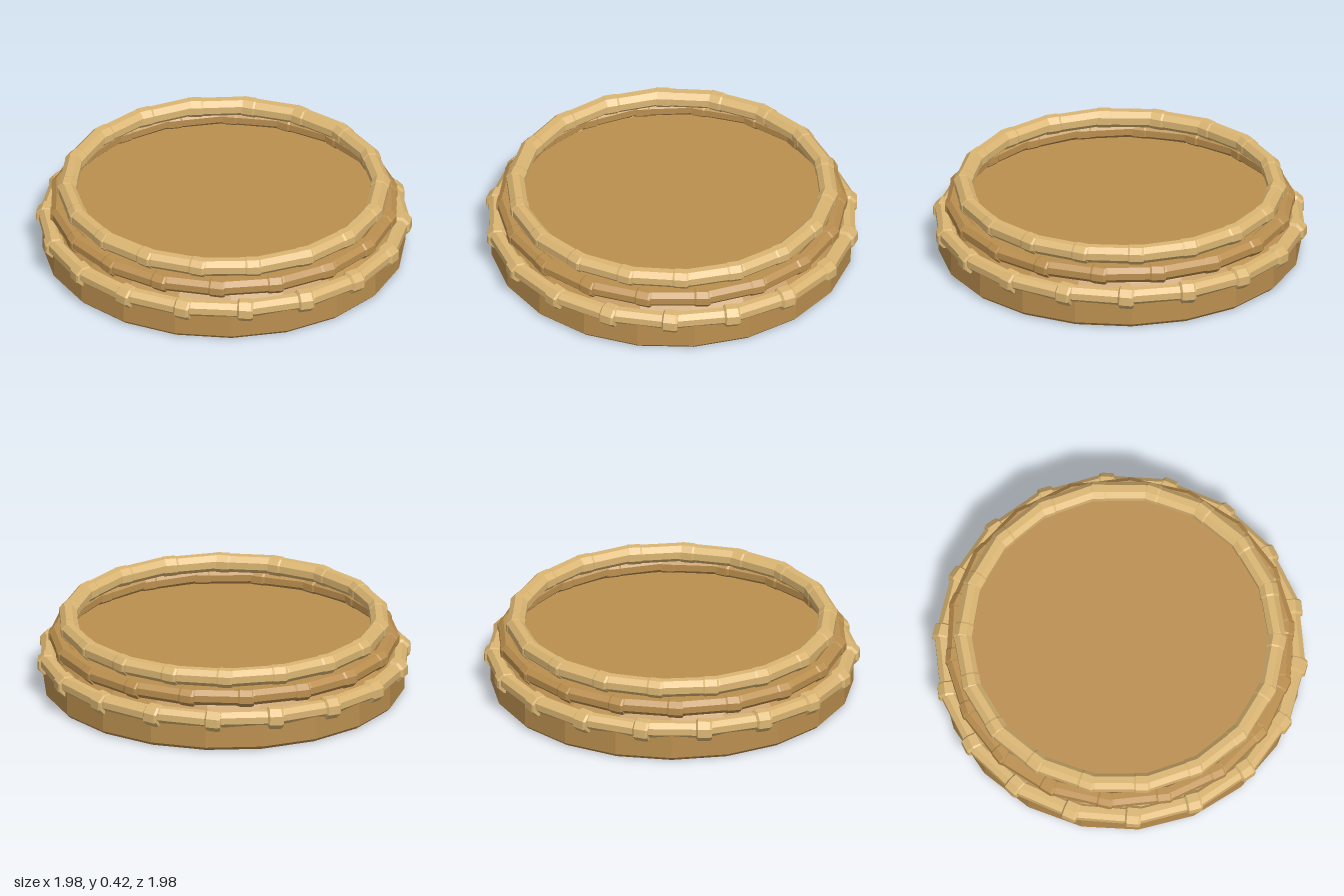
import * as THREE from 'three';

function material(name, color) {
  const m = new THREE.MeshStandardMaterial({ color, flatShading: true });
  m.name = name;
  return m;
}

// Faceted solid of revolution from [radius, height] pairs, bottom to top
function turned(profile, sides) {
  return new THREE.LatheGeometry(profile.map(([r, y]) => new THREE.Vector2(r, y)), sides);
}

// One cane: a thin stem with a thicker collar at its +y end
function caneGeometry(length, r, collar) {
  const h = length / 2;
  return turned([
    [0, -h], [r * 0.9, -h], [r, -h + 0.03],
    [r, h - 0.085], [collar, h - 0.075],
    [collar, h - 0.012], [collar * 0.88, h], [0, h],
  ], 8);
}

export function createModel() {
  const model = new THREE.Group();
  const lightCane = material('light cane', 0xdbb673);
  const darkCane = material('dark cane', 0xbb8f4f);

  // Bevelled base whose upper face is the sunken floor
  const base = new THREE.Mesh(turned([
    [0, 0], [0.94, 0], [0.96, 0.02], [0.96, 0.15], [0.88, 0.22], [0.86, 0.24], [0, 0.24],
  ], 20), darkCane);
  base.name = 'base';
  model.add(base);

  // Three stacked rings of overlapping canes; joint is the angle of the first collar
  const rings = [
    { name: 'lowerRing', y: 0.173, radius: 0.924, r: 0.046, collar: 0.061, joint: 6, tilt: 0.03, mat: lightCane },
    { name: 'middleRing', y: 0.276, radius: 0.868, r: 0.046, collar: 0.051, joint: -3, tilt: 0.02, mat: darkCane },
    { name: 'upperRing', y: 0.368, radius: 0.819, r: 0.049, collar: 0.053, joint: 10, tilt: 0.01, mat: lightCane },
  ];
  const count = 18;
  for (const { name, y, radius, r, collar, joint, tilt, mat } of rings) {
    const ring = new THREE.Group();
    ring.name = name;
    const length = 2 * radius * Math.tan(Math.PI / count) + 0.035;
    const geometry = caneGeometry(length, r, collar);
    geometry.rotateY(Math.PI / 8);
    geometry.rotateZ(-Math.PI / 2 - tilt);
    for (let i = 0; i < count; i++) {
      const angle = THREE.MathUtils.degToRad(joint - 10) + (i * 2 * Math.PI) / count;
      const cane = new THREE.Mesh(geometry, mat);
      cane.name = 'cane';
      cane.position.set(Math.sin(angle) * radius, y, Math.cos(angle) * radius);
      cane.rotation.y = angle;
      ring.add(cane);
    }
    model.add(ring);
  }
  return model;
}
